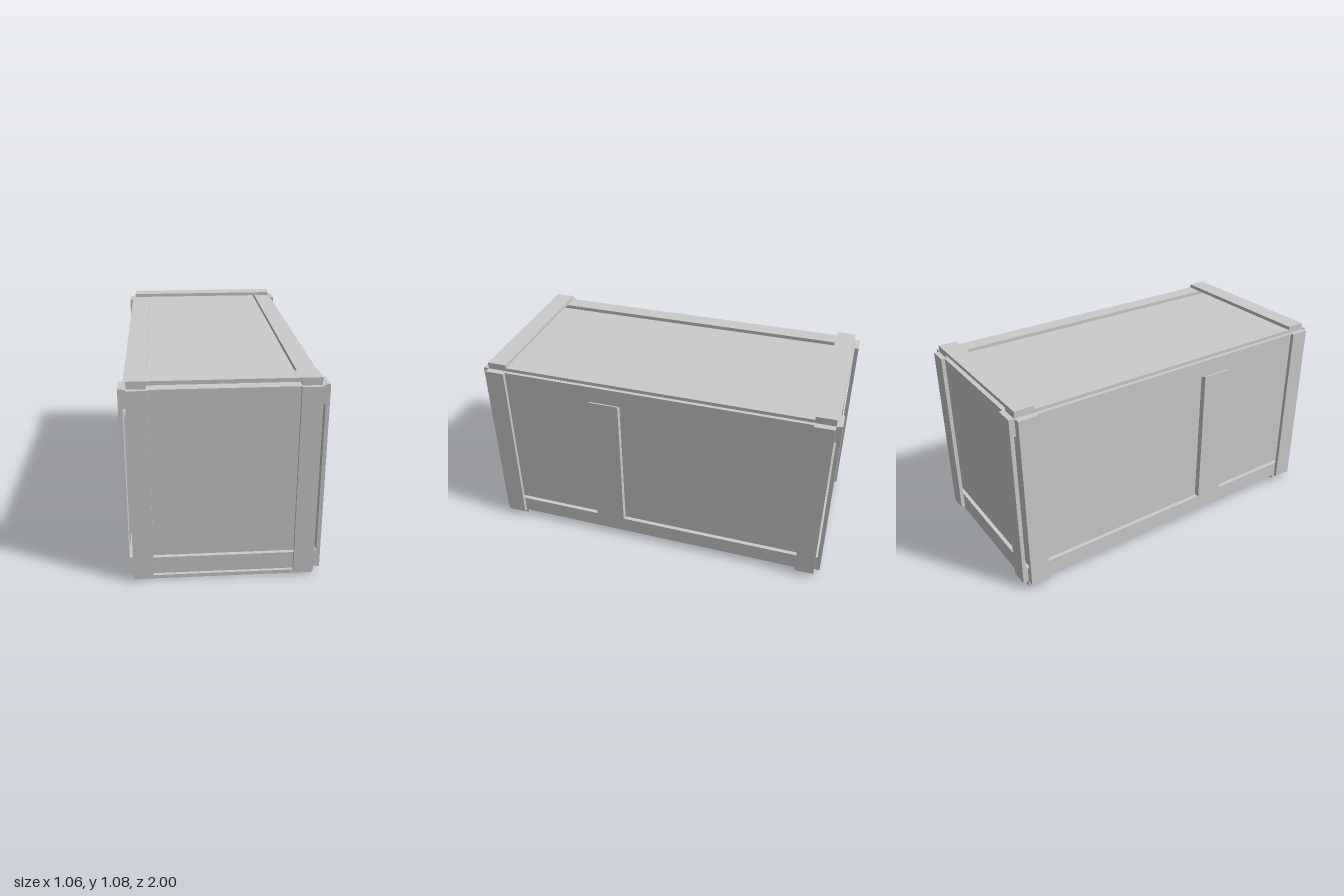
import * as THREE from 'three';

const material = new THREE.MeshStandardMaterial({ color: 0xcccccc, flatShading: true });

export function createModel() {
  const crate = new THREE.Group();
  crate.name = 'crate';

  // Box given by its min and max on each axis
  const board = (name, [x0, x1], [y0, y1], [z0, z1]) => {
    const mesh = new THREE.Mesh(new THREE.BoxGeometry(x1 - x0, y1 - y0, z1 - z0), material);
    mesh.position.set((x0 + x1) / 2, (y0 + y1) / 2, (z0 + z1) / 2);
    mesh.name = name;
    crate.add(mesh);
  };
  // Range mirrored to the negative side when s is -1
  const side = (s, a, b) => (s > 0 ? [a, b] : [-b, -a]);
  // Range mirrored about the mid height of the crate
  const MID = 0.5375;
  const level = (s, a, b) => side(s, a, b).map((v) => v + MID);

  // Inner panels
  board('panelBox', [-0.455, 0.455], level(1, -0.497, 0.497), [-0.943, 0.943]);

  for (const s of [1, -1]) {
    // Rails along the top and bottom of each wall
    for (const v of [1, -1]) {
      board('sideRail', side(s, 0.45, 0.478), level(v, 0.405, 0.499), [-0.954, 0.954]);
      board('endRail', [-0.46, 0.46], level(v, 0.405, 0.499), side(s, 0.94, 0.964));
    }

    // Upright in the middle of each long wall
    board('sideMiddlePost', side(s, 0.45, 0.487), level(1, -0.401, 0.405), [0.19, 0.357]);

    // Long battens and raised cross battens on the lid (s = 1) and base (s = -1)
    for (const t of [1, -1]) {
      board('longBatten', side(t, 0.365, 0.458), level(s, 0.49, 0.5175), [-0.954, 0.954]);
      board('crossBatten', [-0.46, 0.46], level(s, 0.5175, 0.5375), side(t, 0.848, 0.954));
    }

    // Corner posts over the rails
    for (const t of [1, -1]) {
      board('sideCornerPost', side(s, 0.478, 0.498), level(1, -0.502, 0.502), side(t, 0.848, 0.954));
      board('endCornerPost', side(t, 0.357, 0.46), level(1, -0.502, 0.502), side(s, 0.964, 0.985));
    }
  }

  // The crate stands slightly turned
  crate.rotation.y = -0.0355;
  const model = new THREE.Group();
  model.add(crate);
  return model;
}
